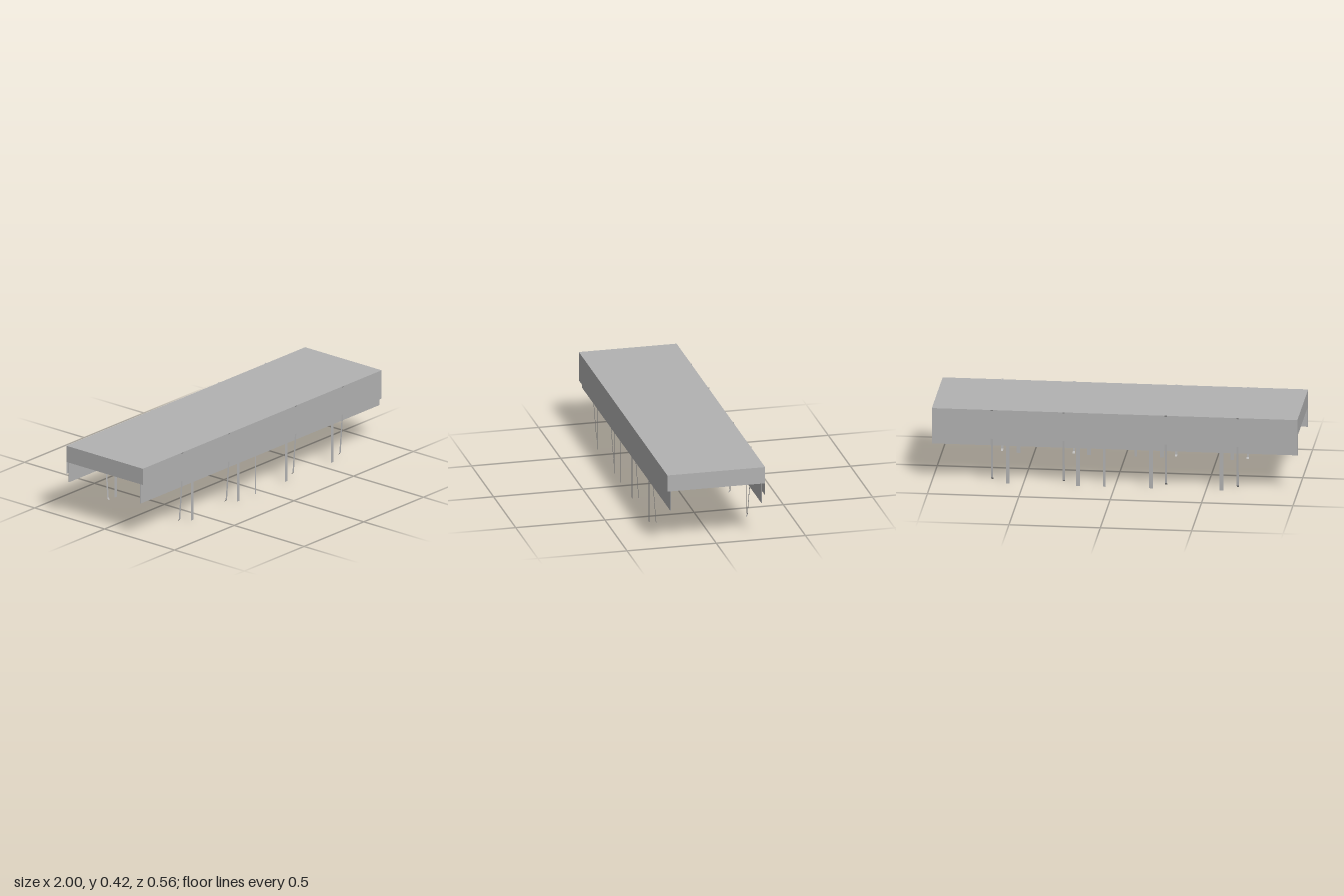
import * as THREE from 'three';

const TOP = 0.417, HALF_X = 1, HALF_Z = 0.274;

export function createModel() {
  const model = new THREE.Group();
  const grey = new THREE.MeshStandardMaterial({ color: 0xb2b2b2, side: THREE.DoubleSide });
  grey.name = 'grey';

  const add = (parent, name, geometry, x = 0, y = 0, z = 0) => {
    const mesh = new THREE.Mesh(geometry, grey);
    mesh.name = name;
    mesh.position.set(x, y, z);
    parent.add(mesh);
    return mesh;
  };

  // Thin strip across x, following a side profile of [y, z] points
  const strip = (width, profile) => {
    const geometry = new THREE.PlaneGeometry(width, 1, 1, profile.length - 1);
    const pos = geometry.attributes.position;
    for (let i = 0; i < pos.count; i++) {
      const [y, z] = profile[Math.floor(i / 2)];
      pos.setXYZ(i, pos.getX(i), y, z);
    }
    const flat = geometry.toNonIndexed();
    flat.computeVertexNormals();
    return flat;
  };

  // Flat roof
  const roof = new THREE.PlaneGeometry(2 * HALF_X, 2 * HALF_Z).rotateX(-Math.PI / 2);
  add(model, 'roof', roof, 0, TOP, 0);

  // The two long sides are the same, turned half way round
  for (const [name, turn] of [['frontSide', 0], ['backSide', Math.PI]]) {
    const side = new THREE.Group();
    side.name = name;
    side.rotation.y = turn;
    model.add(side);

    // Outer panel and the deeper inner skirt
    add(side, 'sidePanel', new THREE.PlaneGeometry(2 * HALF_X, 0.164), 0, TOP - 0.082, HALF_Z);
    add(side, 'innerSkirt', new THREE.BoxGeometry(2 * HALF_X, 0.206, 0.004), 0, 0.313, 0.255);

    // Straight legs, flush with the panel
    for (const x of [-0.585, -0.2, 0.2, 0.585])
      add(side, 'wideLeg', new THREE.PlaneGeometry(0.021, 0.253), x, 0.1265, HALF_Z);
    add(side, 'middleLeg', new THREE.PlaneGeometry(0.012, 0.253), -0.057, 0.1265, HALF_Z);

    // Narrow clips that lean inwards and end in a small hook
    const clip = [[0.419, 0.278], [0.41, 0.2735], [0.253, 0.2735], [0.026, 0.256], [0.016, 0.248]];
    for (const x of [-0.672, -0.28, 0.28, 0.672])
      add(side, 'narrowClip', strip(0.012, clip), x);
  }

  // Shallow end panels
  for (const s of [-1, 1]) {
    const end = add(model, s > 0 ? 'leftEnd' : 'rightEnd',
      new THREE.PlaneGeometry(2 * HALF_Z, 0.094), s * HALF_X, TOP - 0.047, 0);
    end.rotation.y = s * Math.PI / 2;
  }

  return model;
}
